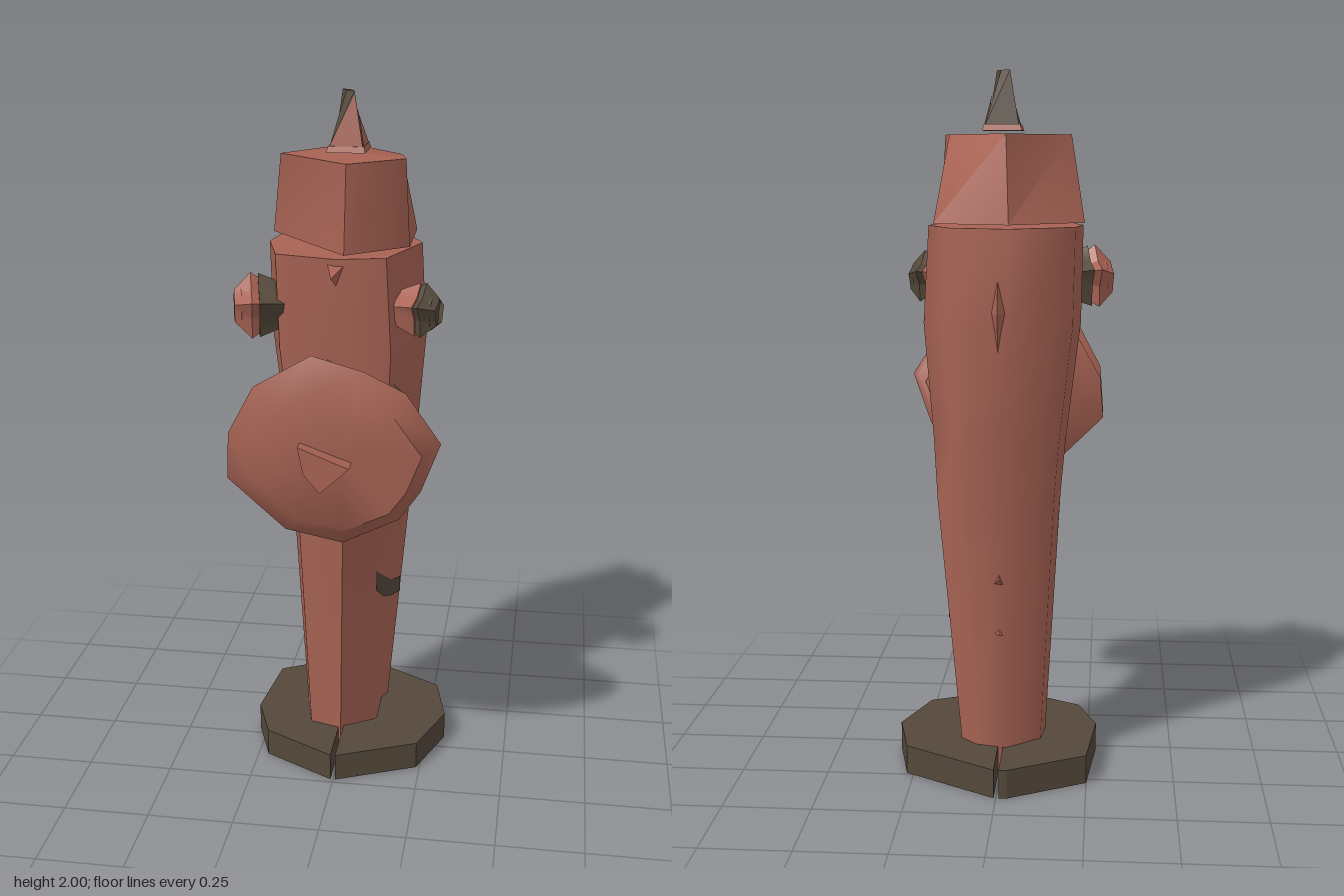
import * as THREE from 'three';
import { toCreasedNormals } from 'three/addons/utils/BufferGeometryUtils.js';

const red = new THREE.MeshStandardMaterial({ color: 0xa86354, side: THREE.DoubleSide });
red.name = 'faded red';
const dark = new THREE.MeshStandardMaterial({ color: 0x54483a, side: THREE.DoubleSide });
dark.name = 'dark metal';

// Skin a list of equal-length rings and close the ends.
function loft(rings, crease = 0.6, capStart = true, capEnd = true) {
  const n = rings[0].length, pos = [], idx = [];
  rings.forEach(r => r.forEach(p => pos.push(...p)));
  for (let k = 0; k < rings.length - 1; k++) {
    for (let i = 0; i < n; i++) {
      const j = (i + 1) % n, a = k * n, b = a + n;
      idx.push(a + i, a + j, b + j, a + i, b + j, b + i);
    }
  }
  const cap = (k, flip) => {
    const c = pos.length / 3;
    pos.push(...[0, 1, 2].map(d => rings[k].reduce((s, p) => s + p[d], 0) / n));
    for (let i = 0; i < n; i++) {
      const a = k * n + i, b = k * n + (i + 1) % n;
      idx.push(c, flip ? b : a, flip ? a : b);
    }
  };
  if (capStart) cap(0, true);
  if (capEnd) cap(rings.length - 1, false);
  const g = new THREE.BufferGeometry();
  g.setAttribute('position', new THREE.Float32BufferAttribute(pos, 3));
  g.setIndex(idx);
  return toCreasedNormals(g, crease);
}

// Fit an outline to a rectangle.
function fit(outline, u0, u1, v0, v1) {
  const us = outline.map(p => p[0]), vs = outline.map(p => p[1]);
  const map = (t, l, a, b) => a + (t - Math.min(...l)) / (Math.max(...l) - Math.min(...l)) * (b - a);
  return outline.map(([u, v]) => [map(u, us, u0, u1), map(v, vs, v0, v1)]);
}

export function createModel() {
  const model = new THREE.Group();
  const add = (name, geo, mat) => {
    const m = new THREE.Mesh(geo, mat);
    m.name = name;
    model.add(m);
  };

  // Tapered body: a ridge at the front below, fuller shoulders above
  const lower = [[-0.17, 0.11], [0.01, 0.155], [0.1, 0], [0.23, -0.22],
    [0.14, -0.29], [-0.02, -0.32], [-0.2, -0.2], [-0.22, -0.06]];
  const upper = [[-0.17, 0.11], [0.01, 0.155], [0.15, 0.12], [0.23, -0.1],
    [0.15, -0.27], [-0.02, -0.32], [-0.2, -0.2], [-0.22, -0.06]];
  const bodyLevels = [[lower, 0.01, -0.12, 0.11, -0.23, 0.07], [lower, 0.8, -0.165, 0.18, -0.265, 0.11],
    [upper, 0.97, -0.18, 0.2, -0.29, 0.12], [upper, 1.3, -0.22, 0.225, -0.325, 0.14],
    [upper, 1.575, -0.225, 0.21, -0.32, 0.155]];
  add('body', loft(bodyLevels.map(([o, y, ...box]) => fit(o, ...box).map(([x, z]) => [x, y, z])), 0.95), red);

  // Five-sided, slightly twisted bonnet
  const bonnetBottom = [[0.02, 0.15], [0.185, 0.01], [0.18, -0.24], [-0.03, -0.32], [-0.23, -0.15]];
  const bonnetTop = [[0.02, 0.11], [0.17, -0.01], [0.15, -0.09], [-0.02, -0.27], [-0.19, -0.06]];
  add('bonnet', loft([bonnetBottom.map(([x, z]) => [x, 1.585, z]),
    bonnetTop.map(([x, z]) => [x, 1.825, z])], 1.15), red);

  // Finial: red lip and front faces on a dark wedge
  const square = [[-1, 1], [1, 1], [1, -1], [-1, -1]];
  const finialRing = (y, r) => square.map(([x, z]) => [x * r, y, -0.08 + z * r * 1.1]);
  add('finialLip', loft([finialRing(1.835, 0.055), finialRing(1.852, 0.05)]), red);
  const tip = [[-0.006, 2, -0.075], [0.02, 2, -0.053], [0.006, 2, -0.085], [-0.02, 2, -0.103]];
  add('finial', loft([finialRing(1.852, 0.046), tip]), dark);
  const faces = new THREE.BufferGeometry().setFromPoints([
    [-0.046, 1.852, -0.027], [0.046, 1.852, -0.027], [0.02, 1.99, -0.05],
    [0.049, 1.852, -0.027], [0.049, 1.852, -0.131], [0.033, 1.94, -0.044],
  ].map(p => new THREE.Vector3(...p)));
  faces.computeVertexNormals();
  add('finialFaces', faces, red);

  // Split base ring
  const halves = {
    leftBase: [[0.006, -0.395], [0.27, -0.24], [0.31, -0.06], [0.24, 0.13], [0.006, 0.235],
      [0.006, 0.06], [0.1, 0], [0.1, -0.16], [0.006, -0.22]],
    rightBase: [[-0.008, -0.395], [-0.03, -0.395], [-0.25, -0.275], [-0.275, -0.03], [-0.22, 0.12], [-0.008, 0.235],
      [-0.008, 0.06], [-0.11, 0], [-0.11, -0.14], [-0.008, -0.22]],
  };
  for (const [name, pts] of Object.entries(halves)) {
    const shape = new THREE.Shape(pts.map(p => new THREE.Vector2(...p)));
    const g = new THREE.ExtrudeGeometry(shape, { depth: 0.083, bevelEnabled: false });
    add(name, g.rotateX(Math.PI / 2).translate(0, 0.083, 0), dark);
  }

  // Front outlet: neck, flared flange and tilted cap
  const disc = [[0.03, 0.78], [0.19, 0.86], [0.25, 0.95], [0.305, 1.1], [0.21, 1.25],
    [0.1, 1.31], [-0.04, 1.355], [-0.2, 1.26], [-0.275, 1.12], [-0.285, 0.98], [-0.13, 0.82]];
  const outletRing = (z, xTilt, yTilt, ...box) => fit(disc, ...box)
    .map(([x, y]) => [x, y, z + x * xTilt + (y - 1.07) * yTilt]);
  add('outletNeck', loft([outletRing(0.04, 0, 0, -0.16, 0.16, 0.9, 1.3),
    outletRing(0.15, 0, 0.02, -0.17, 0.17, 0.92, 1.28)]), red);
  add('outletFlange', loft([outletRing(0.15, -0.05, 0.05, -0.19, 0.19, 0.9, 1.28),
    outletRing(0.24, 0, 0.13, -0.285, 0.265, 0.8, 1.3),
    outletRing(0.28, -0.05, 0.13, -0.2, 0.23, 0.87, 1.3)], 0.9), red);
  add('outletCap', loft([outletRing(0.27, -0.08, 0.16, -0.265, 0.285, 0.81, 1.33),
    outletRing(0.287, -0.08, 0.16, -0.285, 0.305, 0.78, 1.355),
    outletRing(0.345, -0.05, 0.1, -0.2, 0.26, 0.85, 1.27)], 0.8), red);
  const nut = [[-0.01, 0.985], [0.07, 1.06], [0.03, 1.075], [-0.07, 1.115], [-0.055, 1.04]];
  add('capNut', loft([nut.map(([x, y]) => [x, y, 0.32]),
    nut.map(([x, y]) => [x, y, 0.392])]), red);

  // Dark chips showing at the top of the flange
  for (const [x, y, z] of [[0.175, 1.235, 0.255], [0.02, 1.29, 0.297]]) {
    add('flangeChip', new THREE.OctahedronGeometry(0.026).scale(1, 1, 0.35).translate(x, y, z), dark);
  }

  // Jagged side outlets
  const star = (z, r, spike) => Array.from({ length: 10 }, (_, i) => {
    const a = i * Math.PI / 5 + 0.3, q = i % 2 ? r : r * spike;
    return [Math.cos(a) * q, Math.sin(a) * q, z];
  });
  const sides = [
    { name: 'leftOutlet', side: 1, x: 0.175, z: 0.04, s: 0.87, inner: red, outer: dark },
    { name: 'rightOutlet', side: -1, x: -0.18, z: 0.05, s: 1.05, inner: dark, outer: red },
  ];
  for (const { name, side, x, z, s, inner, outer } of sides) {
    const group = new THREE.Group();
    group.name = name;
    const part = (label, geo, mat) => {
      const m = new THREE.Mesh(geo, mat);
      m.name = label;
      group.add(m);
    };
    part('collar', loft([star(-0.03, 0.05, 1.1), star(0.055, 0.06, 1.5)]), inner);
    part('lip', loft([star(0.03, 0.04, 1.5), star(0.075, 0.062, 1.5), star(0.12, 0.035, 1.3)],
      0.4, false, false), outer);
    part('opening', loft([star(0.095, 0.05, 1.2), star(0.102, 0.05, 1.2)]), outer);
    group.position.set(x, 1.415, z);
    group.rotation.y = side * (Math.PI / 2 - 0.25);
    group.scale.setScalar(s);
    model.add(group);
  }

  // Small spikes and chips standing out of the body
  const spike = (name, base, apex) => add(name, loft([base, base.map(() => apex)], 0.3, true, false), red);
  spike('browSpike', [[0, 1.49, 0.13], [0.025, 1.56, 0.13], [-0.03, 1.565, 0.13]], [-0.005, 1.535, 0.22]);
  spike('backRidge', [[-0.03, 1.35, -0.3], [0, 1.46, -0.3], [0.02, 1.35, -0.3], [0, 1.2, -0.29]], [-0.003, 1.35, -0.37]);
  spike('upperBackChip', [[-0.02, 0.56, -0.24], [0, 0.61, -0.24], [0.02, 0.57, -0.24]], [0, 0.595, -0.27]);
  spike('lowerBackChip', [[-0.02, 0.42, -0.23], [0, 0.45, -0.23], [0.02, 0.43, -0.23]], [0, 0.43, -0.265]);

  // Dark worn patch on the left side
  const columns = [[0.09, -0.05, 0.5, 0.565], [0.109, -0.085, 0.465, 0.535],
    [0.128, -0.12, 0.452, 0.507], [0.152, -0.165, 0.45, 0.5]];
  const patch = new THREE.BufferGeometry();
  patch.setAttribute('position', new THREE.Float32BufferAttribute(
    columns.flatMap(([x, z, y0, y1]) => [x, y0, z, x, y1, z]), 3));
  patch.setIndex([0, 2, 4].flatMap(i => [i, i + 2, i + 3, i, i + 3, i + 1]));
  patch.computeVertexNormals();
  add('wornPatch', patch, dark);

  return model;
}
